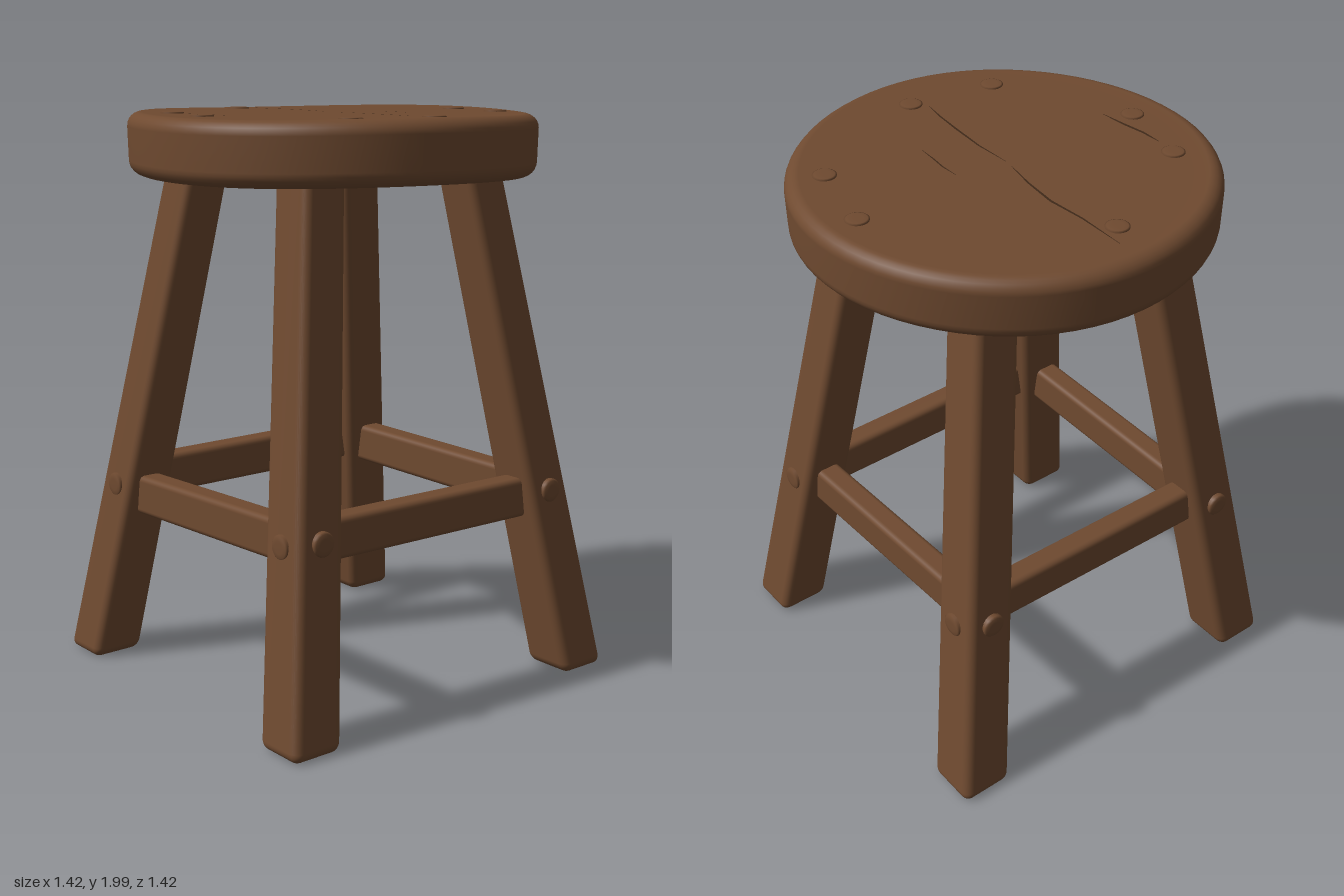
import * as THREE from 'three';
import { RoundedBoxGeometry } from 'three/addons/geometries/RoundedBoxGeometry.js';
import { mergeVertices } from 'three/addons/utils/BufferGeometryUtils.js';

const wood = new THREE.MeshStandardMaterial({ color: 0x6f4a30 });
wood.name = 'brownWood';
const crackWood = new THREE.MeshStandardMaterial({ color: 0x3f2919, side: THREE.DoubleSide });
crackWood.name = 'darkCrack';

const SEAT_TOP = 1.99;

function add(parent, name, geometry, material = wood) {
  const mesh = new THREE.Mesh(geometry, material);
  mesh.name = name;
  parent.add(mesh);
  return mesh;
}

// Round seat with softened rims and a slightly uneven edge
function seatGeometry() {
  const profile = [new THREE.Vector2(0, 1.785)];
  const arc = (cx, cy, rx, ry, from, to) => {
    for (let i = 0; i <= 6; i++) {
      const a = from + (to - from) * i / 6;
      profile.push(new THREE.Vector2(cx + rx * Math.cos(a), cy + ry * Math.sin(a)));
    }
  };
  profile.push(new THREE.Vector2(0.6, 1.783));
  arc(0.655, 1.83, 0.052, 0.05, -Math.PI / 2, 0);
  arc(0.66, 1.945, 0.05, 0.048, 0, Math.PI / 2);
  profile.push(new THREE.Vector2(0.6, SEAT_TOP), new THREE.Vector2(0, SEAT_TOP));
  const g = new THREE.LatheGeometry(profile, 72);
  const p = g.attributes.position;
  for (let i = 0; i < p.count; i++) {
    const r = Math.hypot(p.getX(i), p.getZ(i));
    if (r < 0.62) continue;
    const a = Math.atan2(p.getZ(i), p.getX(i));
    p.setY(i, p.getY(i) + 0.004 * Math.sin(3 * a + 1));
  }
  return g;
}

// Splayed square leg: a rounded post, tapered and leaned by a rule
function legCentre(leg, y) {
  const t = y / 1.78;
  return [leg.foot[0] + (leg.top[0] - leg.foot[0]) * t, leg.foot[1] + (leg.top[1] - leg.foot[1]) * t];
}

function legGeometry(leg) {
  const height = 1.86;
  let g = new RoundedBoxGeometry(0.195, height, 0.195, 4, 0.034);
  g.deleteAttribute('uv');
  g.deleteAttribute('normal');
  g = mergeVertices(g, 1e-4);
  const p = g.attributes.position;
  for (let i = 0; i < p.count; i++) {
    const y = p.getY(i) + height / 2;
    const width = 1 - 0.13 * y / height;
    const [cx, cz] = legCentre(leg, y);
    p.setXYZ(i, cx + p.getX(i) * width, y + 0.003, cz + p.getZ(i) * width);
  }
  g.computeVertexNormals();
  return g;
}

// Rounded peg head standing along +y
const pegGeometry = (r, h) => new THREE.LatheGeometry([
  new THREE.Vector2(r, -0.04), new THREE.Vector2(r, h * 0.5),
  new THREE.Vector2(r * 0.85, h * 0.9), new THREE.Vector2(r * 0.5, h), new THREE.Vector2(0, h),
], 20);

// Thin tapering split lying on the seat, drawn along a few points
function crackGeometry(points, width) {
  const upper = [], lower = [];
  points.forEach(([x, z], i) => {
    const w = width * Math.sin(Math.PI * (i + 0.3) / (points.length - 0.4)) / 2;
    upper.push(new THREE.Vector2(x, -z + w));
    lower.unshift(new THREE.Vector2(x, -z - w));
  });
  const g = new THREE.ShapeGeometry(new THREE.Shape([...upper, ...lower]));
  return g.rotateX(-Math.PI / 2);
}

export function createModel() {
  const stool = new THREE.Group();
  stool.name = 'stool';

  add(stool, 'seat', seatGeometry());

  // Peg heads on the seat
  const seatPegs = [[0, -0.57], [0.29, -0.5], [0.52, 0], [0.47, 0.31], [0, 0.55], [-0.28, 0.48], [-0.52, 0.03]];
  for (const [x, z] of seatPegs) {
    add(stool, 'seatPeg', pegGeometry(0.04, 0.006)).position.set(x, SEAT_TOP, z);
  }

  // Splits in the seat top
  const cracks = [
    [[[-0.6, -0.03], [-0.42, -0.025], [-0.28, -0.035], [-0.15, -0.02], [-0.03, 0.005]], 0.009],
    [[[0, 0.01], [0.14, 0.005], [0.28, 0.015], [0.38, 0.025], [0.47, 0.04]], 0.008],
    [[[-0.2, 0.49], [-0.12, 0.49], [-0.05, 0.48], [0.06, 0.47]], 0.011],
    [[[0.03, -0.17], [0.1, -0.172], [0.16, -0.165], [0.23, -0.16]], 0.006],
  ];
  for (const [points, width] of cracks) {
    add(stool, 'seatCrack', crackGeometry(points, width), crackWood).position.y = SEAT_TOP + 0.002;
  }

  // Legs, with the heights of the rails that meet in each
  const legs = {
    frontLeft: { foot: [0.597, 0.617], top: [0.317, 0.35], xRail: 0.648, zRail: 0.655 },
    frontRight: { foot: [-0.602, 0.617], top: [-0.33, 0.35], xRail: 0.622, zRail: 0.668 },
    backLeft: { foot: [0.597, -0.615], top: [0.32, -0.355], xRail: 0.65, zRail: 0.645 },
    backRight: { foot: [-0.602, -0.615], top: [-0.298, -0.315], xRail: 0.667, zRail: 0.675 },
  };
  for (const [name, leg] of Object.entries(legs)) {
    add(stool, name + 'Leg', legGeometry(leg));
    const y = 0.67;
    const [x, z] = legCentre(leg, y);
    const sx = Math.sign(x), sz = Math.sign(z);
    // Peg heads on both outer faces
    const side = add(stool, name + 'SidePeg', pegGeometry(0.042, 0.016));
    side.position.set(x + sx * 0.093, y, z);
    side.rotation.z = -sx * Math.PI / 2;
    const face = add(stool, name + 'FacePeg', pegGeometry(0.042, 0.012));
    face.position.set(x, y - 0.015, z + sz * 0.093);
    face.rotation.x = sz * Math.PI / 2;
  }

  // Rails joining neighbouring legs
  const rails = [
    ['frontRail', 'frontLeft', 'frontRight', 'xRail'],
    ['backRail', 'backLeft', 'backRight', 'xRail'],
    ['leftRail', 'frontLeft', 'backLeft', 'zRail'],
    ['rightRail', 'frontRight', 'backRight', 'zRail'],
  ];
  for (const [name, from, to, key] of rails) {
    const [a, b] = [legs[from], legs[to]].map((leg) => {
      const [x, z] = legCentre(leg, leg[key]);
      return new THREE.Vector3(x, leg[key], z);
    });
    const rail = add(stool, name, new RoundedBoxGeometry(0.092, 0.143, a.distanceTo(b), 3, 0.02));
    rail.position.copy(a).add(b).multiplyScalar(0.5);
    rail.lookAt(b);
  }
  return stool;
}
